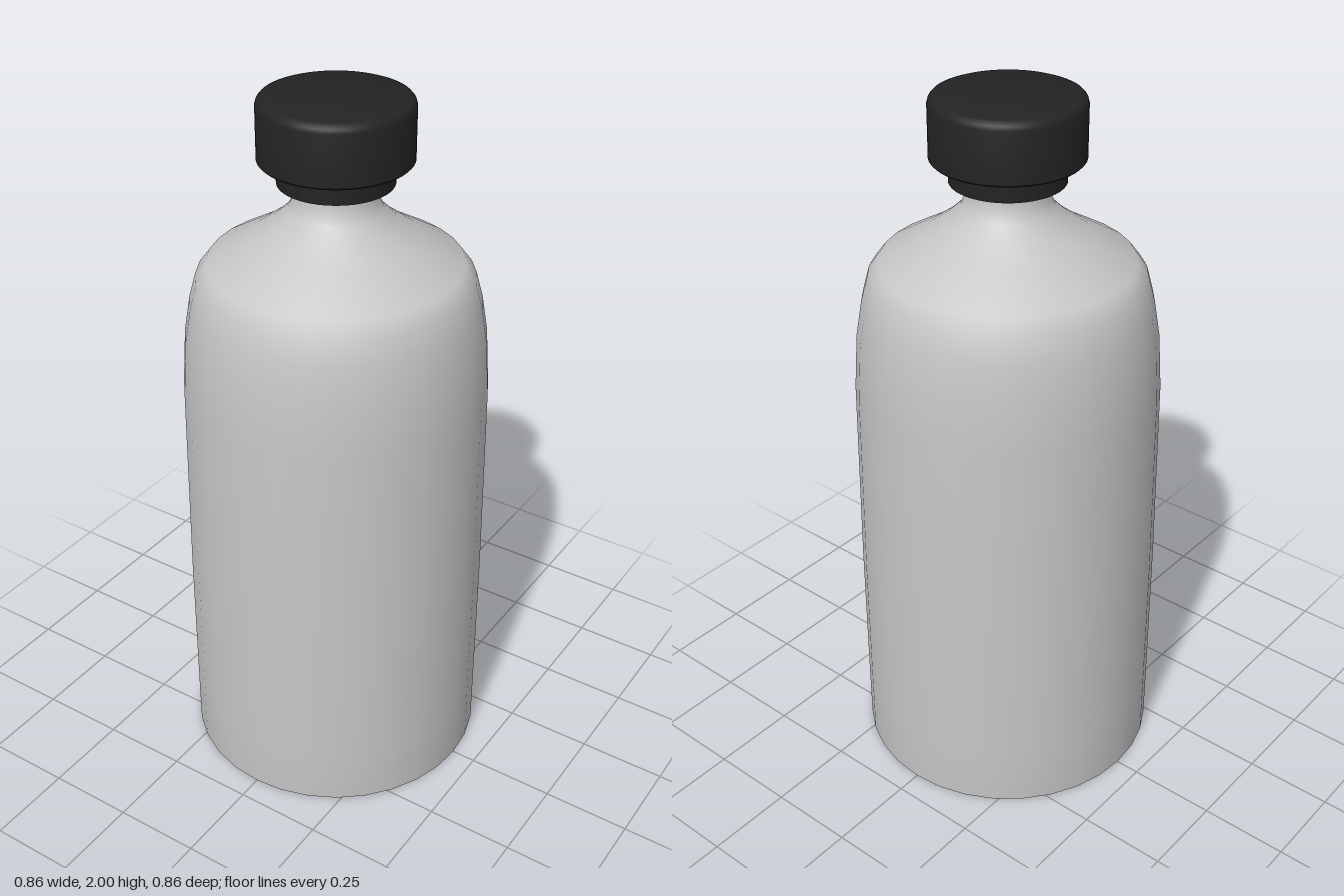
import * as THREE from 'three';
import { toCreasedNormals } from 'three/addons/utils/BufferGeometryUtils.js';

const profile = (pairs) => pairs.map(([r, y]) => new THREE.Vector2(r, y));

export function createModel() {
  const model = new THREE.Group();
  model.name = 'bottle';

  const bodyGrey = new THREE.MeshStandardMaterial({ color: 0xc6c6c6 });
  bodyGrey.name = 'bodyGrey';
  const capBlack = new THREE.MeshStandardMaterial({ color: 0x232323 });
  capBlack.name = 'capBlack';

  const add = (name, geometry, material) => {
    const mesh = new THREE.Mesh(geometry, material);
    mesh.name = name;
    model.add(mesh);
    return mesh;
  };

  // Smooth body: straight wall, rounded shoulder and narrow neck
  add('body', new THREE.LatheGeometry(profile([
    [0.422, 0], [0.43, 0.001], [0.43, 0.18], [0.429, 0.61], [0.422, 1.18],
    [0.411, 1.34], [0.394, 1.44], [0.375, 1.51], [0.345, 1.55], [0.225, 1.62],
    [0.165, 1.663], [0.126, 1.70], [0.112, 1.73], [0.108, 1.76], [0.108, 1.84],
  ]), 32), bodyGrey);

  // Flat underside
  const base = add('base', new THREE.CircleGeometry(0.422, 32), bodyGrey);
  base.rotation.x = Math.PI / 2;

  // Collar under the cap, open around the neck
  add('collar', toCreasedNormals(new THREE.LatheGeometry(profile([
    [0.106, 1.772], [0.155, 1.772], [0.155, 1.835],
  ]), 64), 0.6), capBlack);

  // Screw cap with softly rounded rims
  add('cap', toCreasedNormals(new THREE.LatheGeometry(profile([
    [0.106, 1.833], [0.2, 1.833], [0.205, 1.838], [0.205, 1.978],
    [0.202, 1.989], [0.196, 1.996], [0.186, 2], [0, 2],
  ]), 64), 0.6), capBlack);

  return model;
}
